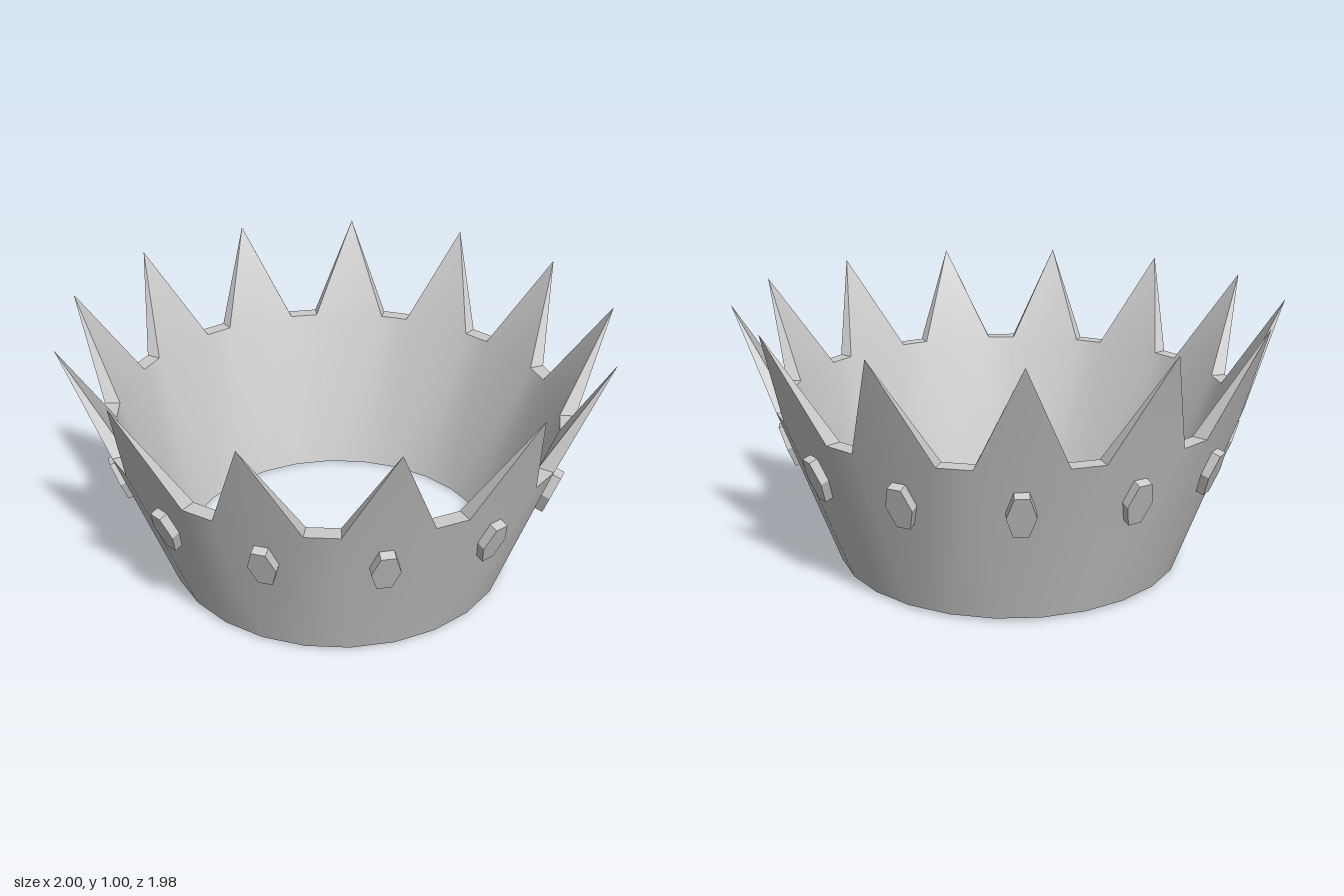
import * as THREE from 'three';
import { toCreasedNormals } from 'three/addons/utils/BufferGeometryUtils.js';

const POINTS = 13;
const STEP = (Math.PI * 2) / POINTS;
const CENTER_Z = 0.015;

// Point on the crown at an angle from the front, a radius and a height
const polar = (angle, radius, y) => [Math.sin(angle) * radius, y, Math.cos(angle) * radius];

function bandGeometry() {
  const positions = [];
  const tri = (...corners) => corners.forEach((p) => positions.push(...p));
  const quad = (a, b, c, d) => { tri(a, b, c); tri(a, c, d); };

  // The four rim corners on one vertical edge of the band
  const edge = (low, high) => ({
    outLow: polar(low, 0.665, 0.01), outTop: polar(high, 0.88, 0.63),
    inLow: polar(low, 0.622, 0), inTop: polar(high, 0.823, 0.63),
  });
  const wall = (l, r) => {
    quad(l.outLow, r.outLow, r.outTop, l.outTop);
    quad(r.inLow, l.inLow, l.inTop, r.inTop);
    quad(l.inLow, r.inLow, r.outLow, l.outLow);
  };

  for (let i = 0; i < POINTS; i++) {
    const a = Math.PI + i * STEP;
    const half = 0.174;
    const left = edge(a - STEP / 4, a - half);
    const right = edge(a + STEP / 4, a + half);
    const next = edge(a + STEP * 0.75, a + STEP - half);
    const tip = polar(a, 1.007, 0.995);

    // Wall below a spike, and the spike itself
    wall(left, right);
    tri(left.outTop, right.outTop, tip);
    tri(right.inTop, left.inTop, tip);
    tri(right.outTop, right.inTop, tip);
    tri(left.inTop, left.outTop, tip);

    // Wall below the notch, and the flat notch
    wall(right, next);
    quad(right.outTop, next.outTop, next.inTop, right.inTop);
  }
  const geometry = new THREE.BufferGeometry();
  geometry.setAttribute('position', new THREE.Float32BufferAttribute(positions, 3));
  return toCreasedNormals(geometry, 0.5);
}

export function createModel() {
  const crown = new THREE.Group();
  crown.name = 'crown';

  const material = new THREE.MeshStandardMaterial({ color: 0xcccccc });
  const band = new THREE.Mesh(bandGeometry(), material);
  band.name = 'spikedBand';
  band.position.z = CENTER_Z;
  crown.add(band);

  // Tall six-sided gems, one under each spike, leaning with the wall
  const gemMaterial = new THREE.MeshStandardMaterial({ color: 0xcccccc, flatShading: true });
  const gemGeometry = new THREE.CylinderGeometry(1, 1, 0.06, 6)
    .rotateY(Math.PI / 2)
    .rotateX(Math.PI / 2)
    .scale(0.05, 0.094, 1);
  const gems = new THREE.Group();
  gems.name = 'gems';
  gems.position.z = CENTER_Z;
  for (let i = 0; i < POINTS; i++) {
    const a = Math.PI + i * STEP;
    const gem = new THREE.Mesh(gemGeometry, gemMaterial);
    gem.name = 'gem';
    gem.position.set(...polar(a, 0.813, 0.465));
    gem.rotation.set(Math.atan(0.35), a, 0, 'YXZ');
    gems.add(gem);
  }
  crown.add(gems);
  return crown;
}
